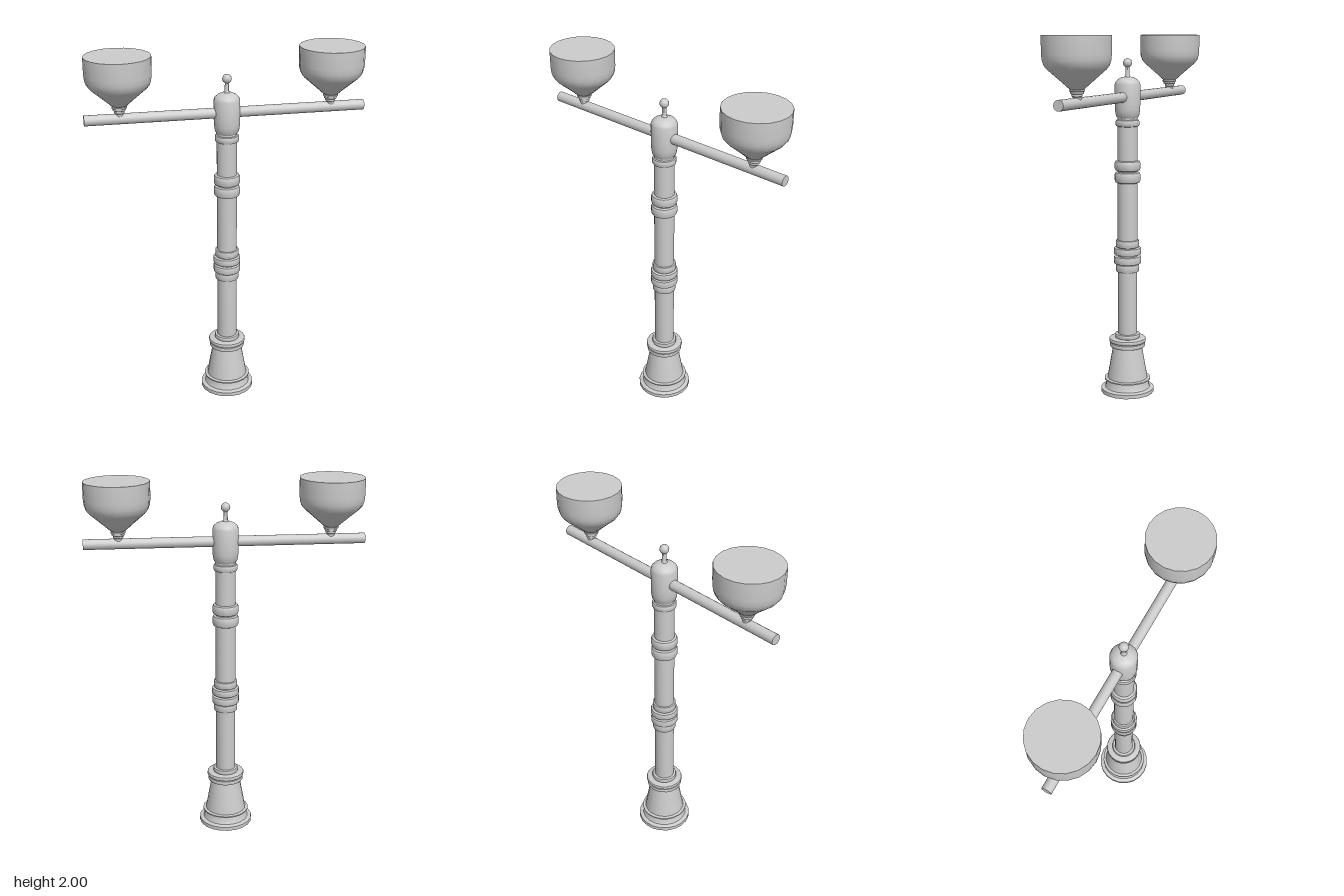
import * as THREE from 'three';
import { toCreasedNormals } from 'three/addons/utils/BufferGeometryUtils.js';

const material = new THREE.MeshStandardMaterial({ color: 0xcccccc, side: THREE.DoubleSide });

// Turned part from [radius, height] pairs, listed bottom to top
function turned(name, profile, sides = 20) {
  const points = profile.map(([r, y]) => new THREE.Vector2(r, y));
  const geometry = toCreasedNormals(new THREE.LatheGeometry(points, sides), 0.6);
  const mesh = new THREE.Mesh(geometry, material);
  mesh.name = name;
  return mesh;
}

// Ring with softened edges, running from y0 to y1 around a core of radius inner
function collar(name, inner, r, y0, y1, bevel = 0.006) {
  const b = bevel * 0.3;
  return turned(name, [
    [inner, y0], [r - bevel, y0], [r - b, y0 + b], [r, y0 + bevel],
    [r, y1 - bevel], [r - b, y1 - b], [r - bevel, y1], [inner, y1],
  ]);
}

export function createModel() {
  const group = new THREE.Group();

  // Flared hollow foot, open underneath
  group.add(turned('foot', [
    [0.095, 0.05], [0.095, 0], [0.15, 0], [0.15, 0.022], [0.14, 0.026], [0.128, 0.028],
    [0.122, 0.04], [0.118, 0.07], [0.13, 0.073], [0.13, 0.08], [0.114, 0.083],
    [0.082, 0.265], [0.055, 0.265],
  ]));
  group.add(collar('footLowerCollar', 0.055, 0.1, 0.265, 0.289));
  group.add(collar('footUpperCollar', 0.055, 0.104, 0.293, 0.316));
  group.add(collar('footNeck', 0.05, 0.07, 0.316, 0.342));

  // Post
  group.add(turned('shaft', [[0.055, 0.265], [0.055, 1.56]]));

  // Decorative rings: radius, bottom, top, bevel
  [
    [0.065, 0.7, 0.742, 0.004], [0.075, 0.746, 0.788, 0.004],
    [0.075, 0.798, 0.836, 0.004], [0.065, 0.84, 0.88, 0.004],
    [0.071, 1.2, 1.261, 0.014], [0.071, 1.266, 1.324, 0.014],
    [0.065, 1.51, 1.548, 0.01],
  ].forEach(([r, y0, y1, bevel], i) => group.add(collar(`ring${i + 1}`, 0.05, r, y0, y1, bevel)));

  // Rounded cap that holds the crossbar
  group.add(turned('cap', [
    [0.045, 1.555], [0.056, 1.558], [0.064, 1.57], [0.069, 1.6], [0.07, 1.63], [0.07, 1.738],
    [0.065, 1.752], [0.052, 1.765], [0.032, 1.775], [0.012, 1.779], [0, 1.779],
  ]));

  // Finial stem and ball
  group.add(turned('finialStem', [[0.018, 1.775], [0.012, 1.785], [0.011, 1.835]], 12));
  const ball = new THREE.Mesh(new THREE.SphereGeometry(0.025, 14, 10), material);
  ball.name = 'finialBall';
  ball.position.y = 1.852;
  group.add(ball);

  // Crossbar
  const bar = new THREE.Mesh(new THREE.CylinderGeometry(0.028, 0.028, 1.5, 16), material);
  bar.name = 'crossbar';
  bar.rotation.z = Math.PI / 2;
  bar.position.y = 1.67;
  group.add(bar);

  // A lamp bowl on a small turned neck at each end of the bar
  for (const side of [-1, 1]) {
    const lamp = new THREE.Group();
    lamp.name = side > 0 ? 'leftLamp' : 'rightLamp';
    lamp.position.x = side * 0.565;
    lamp.add(turned('lampNeck', [
      [0.022, 1.68], [0.022, 1.7], [0.027, 1.704], [0.027, 1.714], [0.034, 1.718],
      [0.034, 1.727], [0.04, 1.73], [0.04, 1.738], [0, 1.738],
    ]));
    lamp.add(turned('lampBowl', [
      [0, 1.737], [0.03, 1.737], [0.044, 1.745], [0.075, 1.773], [0.148, 1.836],
      [0.163, 1.855], [0.171, 1.88], [0.174, 1.91], [0.174, 2], [0, 2],
    ]));
    group.add(lamp);
  }

  return group;
}
